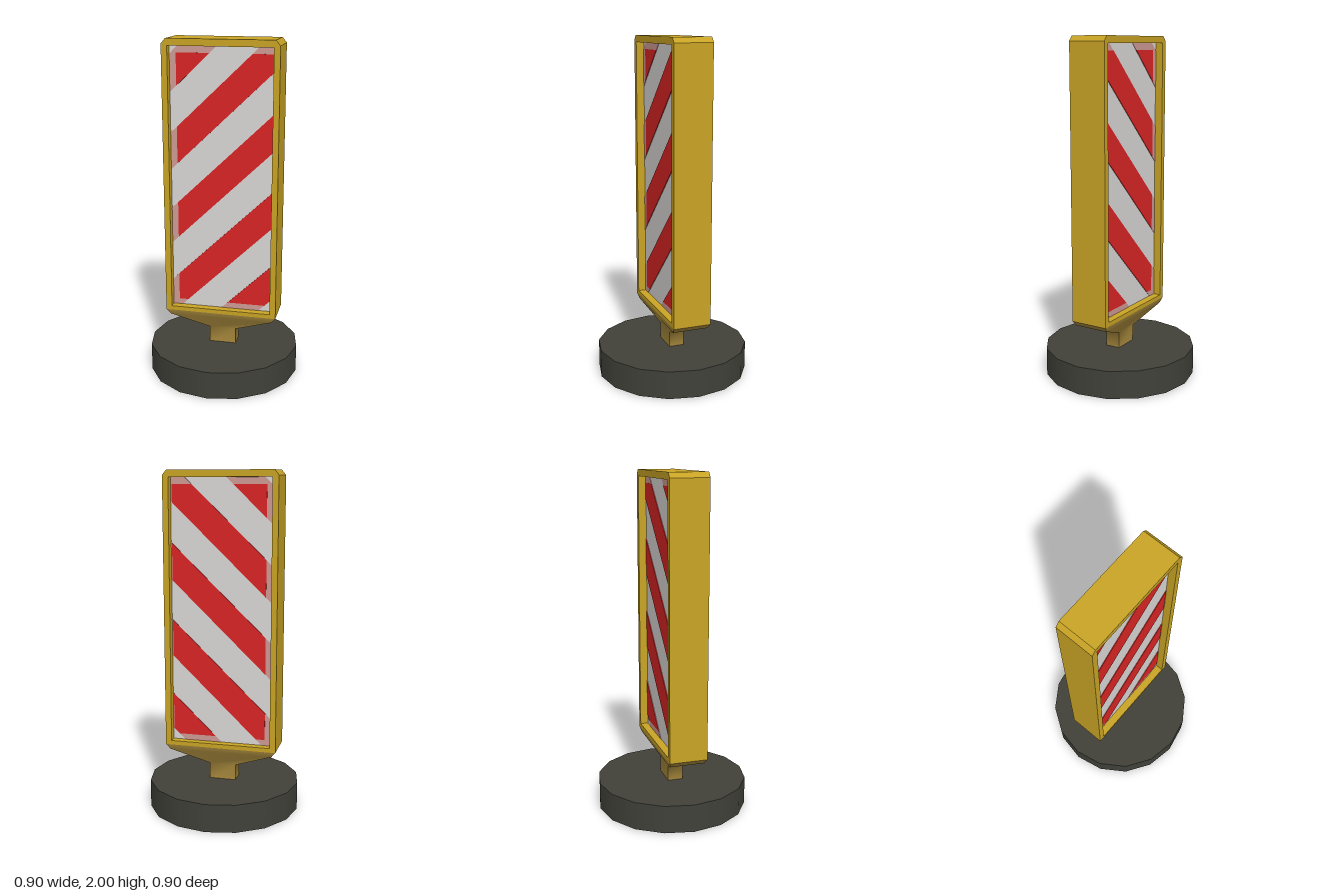
import * as THREE from 'three';

const mat = (name, color) => {
  const m = new THREE.MeshStandardMaterial({ color });
  m.name = name;
  return m;
};

// Keep the part of a polygon where side(p) >= 0 (side is linear)
function clip(poly, side) {
  const out = [];
  poly.forEach((a, i) => {
    const b = poly[(i + 1) % poly.length];
    const da = side(a), db = side(b);
    if (da >= 0) out.push(a);
    if (da * db < 0) out.push(a.clone().lerp(b, da / (da - db)));
  });
  return out;
}

const points = (list) => list.map(([x, y]) => new THREE.Vector2(x, y));
const rect = (x0, y0, x1, y1) => points([[x0, y0], [x1, y0], [x1, y1], [x0, y1]]);

// Extrusion centred on z
function slab(shape, depth, z = 0) {
  return new THREE.ExtrudeGeometry(shape, { depth, bevelEnabled: false })
    .translate(0, 0, z - depth / 2);
}

// Four-sided loft through [y, halfWidth, halfDepth] sections, smooth along y, sharp at corners
function loft(sections) {
  const pos = [], idx = [];
  const corners = [[-1, 1], [1, 1], [1, -1], [-1, -1]];
  corners.forEach((a, s) => {
    const b = corners[(s + 1) % 4], start = pos.length / 3;
    sections.forEach(([y, w, d], i) => {
      pos.push(a[0] * w, y, a[1] * d, b[0] * w, y, b[1] * d);
      if (i === 0) return;
      const k = start + i * 2;
      idx.push(k - 2, k - 1, k + 1, k - 2, k + 1, k);
    });
  });
  const g = new THREE.BufferGeometry();
  g.setAttribute('position', new THREE.Float32BufferAttribute(pos, 3));
  g.setIndex(idx);
  g.computeVertexNormals();
  return g;
}

export function createModel() {
  const model = new THREE.Group();
  const yellow = mat('frame yellow', 0xc9a425);
  const tan = mat('worn tan', 0xab8c3e);
  const white = mat('panel white', 0xdad8d6);
  const red = mat('stripe red', 0xda2424);
  const pink = mat('faded red', 0xcf9a94);
  const dark = mat('rubber grey', 0x41413a);

  const add = (name, geometry, material, parent = model) => {
    const mesh = new THREE.Mesh(geometry, material);
    mesh.name = name;
    parent.add(mesh);
    return mesh;
  };

  // Round foot, a corner on each axis
  add('base', new THREE.CylinderGeometry(0.45, 0.45, 0.165, 16).translate(0, 0.0825, 0), dark);

  // Stem widening into the underside of the frame
  add('stem', loft([
    [0.15, 0.08, 0.045], [0.26, 0.08, 0.045], [0.35, 0.31, 0.105], [0.38, 0.335, 0.113],
  ]), tan);

  // Frame with cut top corners and a window through it
  const outline = new THREE.Shape(points([
    [-0.335, 0.38], [0.335, 0.38], [0.335, 1.97], [0.31, 2], [-0.31, 2], [-0.335, 1.97],
  ]));
  outline.holes.push(new THREE.Path(rect(-0.3, 0.405, 0.3, 1.96).reverse()));
  add('frame', slab(outline, 0.226), yellow);

  // Recessed panel, striped on both faces
  const panelZ = 0.066;
  add('panel', new THREE.BoxGeometry(0.6, 1.555, panelZ * 2).translate(0, 1.1825, 0), white);

  const slope = 0.96;
  const height = (p) => p.y - slope * p.x;
  for (const face of [1, -1]) {
    const stripes = new THREE.Group();
    stripes.name = face > 0 ? 'frontStripes' : 'backStripes';
    model.add(stripes);
    for (let i = 0; i < 5; i++) {
      const low = 0.19 + i * 0.449, high = low + 0.215;
      const band = (area) => new THREE.Shape(
        clip(clip(area, (p) => height(p) - low), (p) => high - height(p)));
      // Faded margin lies under the red centre of each stripe
      add('stripeEdge', slab(band(rect(-0.3, 0.405, 0.3, 1.96)), 0.004, face * panelZ), pink, stripes);
      add('stripe', slab(band(rect(-0.262, 0.44, 0.294, 1.92)), 0.008, face * panelZ), red, stripes);
    }
  }
  return model;
}
